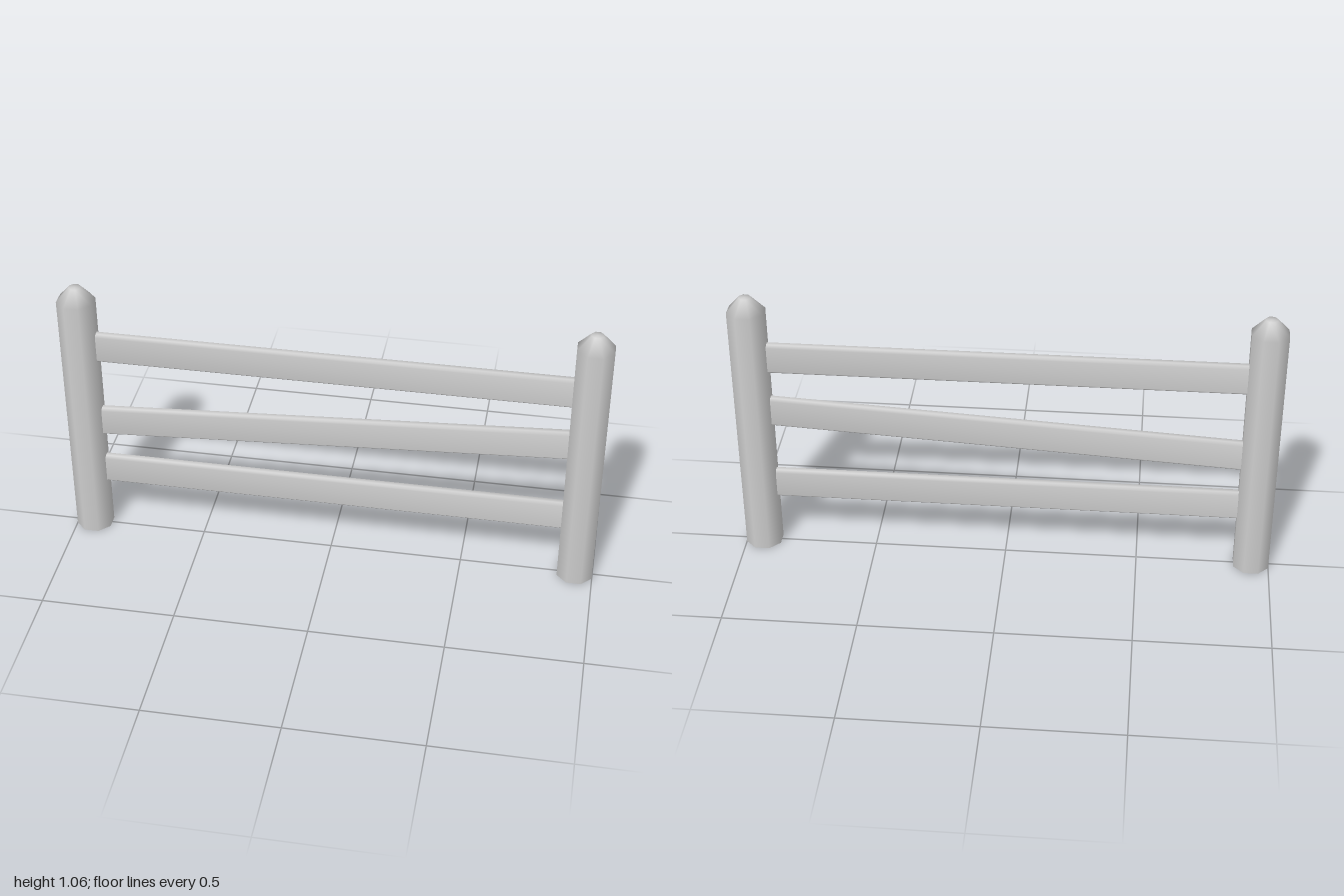
import * as THREE from 'three';

const wood = new THREE.MeshStandardMaterial({ color: 0xcccccc, side: THREE.DoubleSide });
wood.name = 'paleGrey';

// Eight-sided post, open at the base, with a blunt pointed top
function makePost(name, x) {
  const k = 1 / Math.cos(Math.PI / 8);
  const profile = [[0.066, 0], [0.066, 1.01], [0.021, 1.064], [0, 1.064]]
    .map(([r, y]) => new THREE.Vector2(r * k, y));
  const post = new THREE.Mesh(new THREE.LatheGeometry(profile, 8, Math.PI / 8), wood);
  post.name = name;
  post.position.x = x;
  return post;
}

// Flat rail with bevelled long edges, soft-shaded around its section
function makeRail(name, yRight, yLeft) {
  const h = 0.059, t = 0.019, b = 0.01, end = 0.875;
  const section = [
    [t, -h + b], [t, h - b], [t - b, h], [-t + b, h],
    [-t, h - b], [-t, -h + b], [-t + b, -h], [t - b, -h],
  ];
  const n = section.length, positions = [], index = [];
  for (const [x, yc] of [[-end, yRight], [end, yLeft]]) {
    for (const [z, y] of section) positions.push(x, yc + y, z);
  }
  for (let i = 0; i < n; i++) {
    const j = (i + 1) % n;
    index.push(i, n + i, j, n + i, n + j, j);
  }
  const geometry = new THREE.BufferGeometry();
  geometry.setAttribute('position', new THREE.Float32BufferAttribute(positions, 3));
  geometry.setIndex(index);
  geometry.computeVertexNormals();
  const rail = new THREE.Mesh(geometry, wood);
  rail.name = name;
  return rail;
}

export function createModel() {
  const fence = new THREE.Group();
  fence.name = 'fence';
  fence.add(
    makePost('rightPost', -0.934),
    makePost('leftPost', 0.934),
    makeRail('topRail', 0.817, 0.817),
    makeRail('slantedMiddleRail', 0.49, 0.59),
    makeRail('bottomRail', 0.271, 0.271),
  );
  return fence;
}
